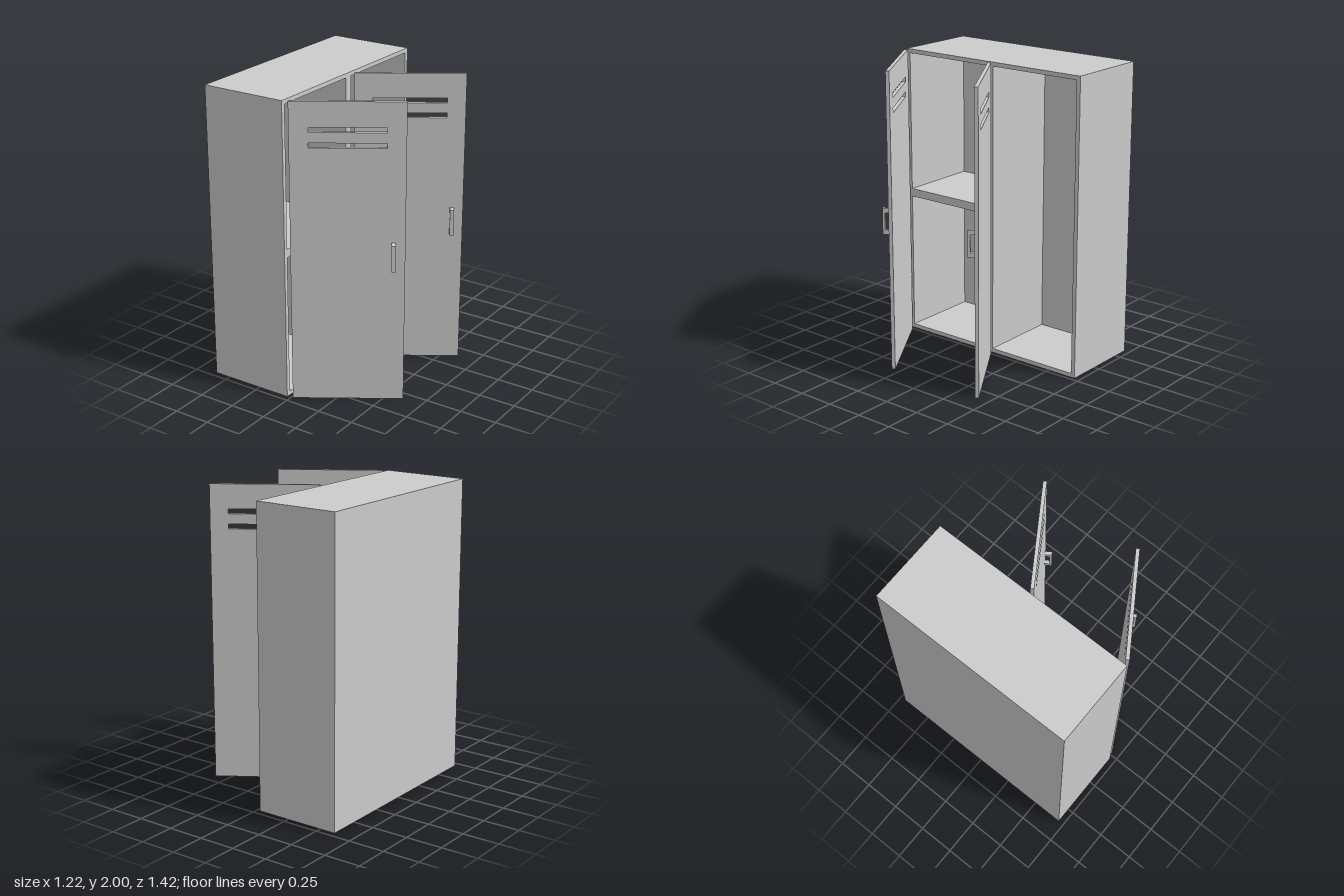
import * as THREE from 'three';

const grey = new THREE.MeshStandardMaterial({ color: 0xcccccc, flatShading: true });

const rectPoints = (x0, y0, x1, y1) =>
  [[x0, y0], [x1, y0], [x1, y1], [x0, y1]].map(([x, y]) => new THREE.Vector2(x, y));

// Flat panel with rectangular openings, extruded along +z
function cutPanel(name, outline, openings, depth) {
  const shape = new THREE.Shape(rectPoints(...outline));
  for (const o of openings) shape.holes.push(new THREE.Path(rectPoints(...o).reverse()));
  const mesh = new THREE.Mesh(new THREE.ExtrudeGeometry(shape, { depth, bevelEnabled: false }), grey);
  mesh.name = name;
  return mesh;
}

function box(name, w, h, d, x, y, z) {
  const mesh = new THREE.Mesh(new THREE.BoxGeometry(w, h, d), grey);
  mesh.position.set(x, y, z);
  mesh.name = name;
  return mesh;
}

// Cabinet: open towards +x, one tall bay and one bay split by a shelf
function createCabinet() {
  const cabinet = new THREE.Group();
  cabinet.name = 'cabinet';
  const half = 0.71, wall = 0.028, back = 0.03, xBack = -0.61, xFront = -0.025;
  const frame = cutPanel('cabinetFrame', [-half, 0, half, 2], [
    [-half + wall, wall, -wall, 0.973],
    [-half + wall, 1.028, -wall, 2 - wall],
    [wall, wall, half - wall, 2 - wall],
  ], xFront - xBack - back);
  frame.rotation.y = Math.PI / 2;
  frame.position.x = xBack + back;
  cabinet.add(frame, box('backPanel', back, 2, half * 2, xBack + back / 2, 1, 0));
  return cabinet;
}

// Door: slotted panel with a bracket handle, swung part way open
function createDoor(name, z) {
  const door = new THREE.Group();
  door.name = name;
  const w = 0.711, t = 0.024, slot = 0.237;
  const panel = cutPanel('doorPanel', [-w / 2, 0, w / 2, 2], [
    [-slot, 1.806, slot, 1.838],
    [-slot, 1.707, slot, 1.739],
  ], t);
  panel.position.z = -t / 2;
  door.add(panel);

  const handle = new THREE.Group();
  handle.name = 'handle';
  handle.position.set(0.283, 1.003, t / 2);
  handle.add(box('handleGrip', 0.026, 0.176, 0.016, 0, 0, 0.042));
  for (const s of [-1, 1]) handle.add(box('handleStandoff', 0.026, 0.03, 0.034, 0, s * 0.073, 0.017));
  door.add(handle);

  door.rotation.y = THREE.MathUtils.degToRad(32.65);
  door.position.set(0.305, 0, z);
  return door;
}

export function createModel() {
  const model = new THREE.Group();
  model.name = 'locker';
  model.add(createCabinet(), createDoor('leftDoor', 0.4975), createDoor('rightDoor', -0.2145));
  return model;
}
